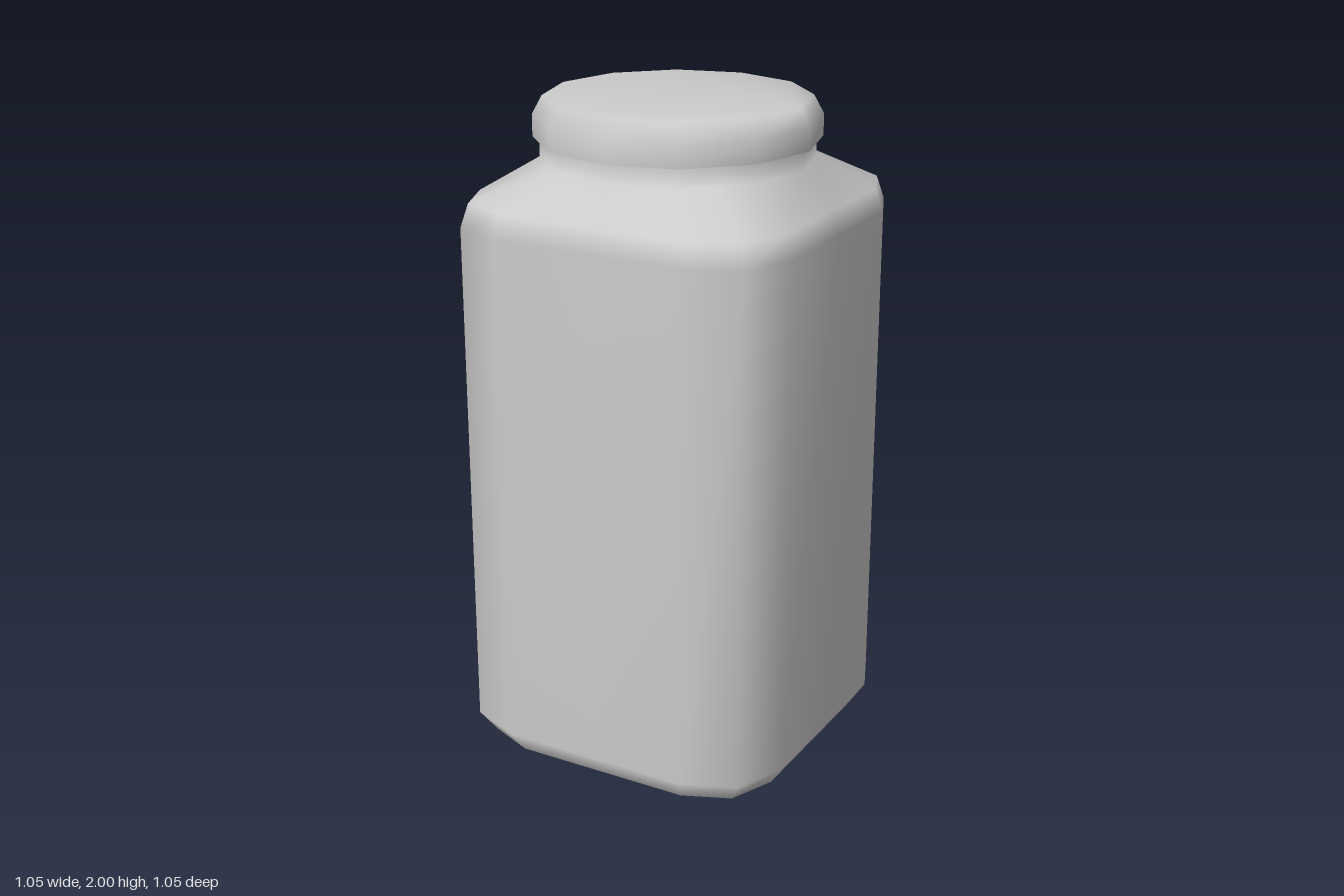
import * as THREE from 'three';

const material = new THREE.MeshStandardMaterial({ color: 0xcccccc });
const RAD = Math.PI / 180;

// Points [x, z] counter-clockwise seen from above, for one quarter turned four times.
function quarterRing(points) {
  const ring = [];
  for (let q = 0; q < 4; q++) {
    const c = Math.round(Math.cos(q * Math.PI / 2)), s = Math.round(Math.sin(q * Math.PI / 2));
    for (const [u, v] of points) ring.push([u * c - v * s, -(u * s + v * c)]);
  }
  return ring;
}

const polar = (r, deg) => [r * Math.cos(deg * RAD), r * Math.sin(deg * RAD)];

// Rounded square outline, h is half its width
const squareRing = (h) => quarterRing([
  [h, 0], [h, h * 0.58], [h * 0.876, h * 0.876], [h * 0.58, h],
]);

// Twelve-sided circle; withMiddle adds the point halfway along each diagonal
// edge so that the ring matches the rounded square
const roundRing = (r, withMiddle) => quarterRing([
  polar(r, 0), polar(r, 30),
  ...(withMiddle ? [polar(r * Math.cos(15 * RAD), 45)] : []),
  polar(r, 60),
]);

// Smooth skin through stacked rings, with an optional smooth top cap
function loft(levels, capTop) {
  const n = levels[0].ring.length, pos = [], index = [];
  for (const { y, ring } of levels) for (const [x, z] of ring) pos.push(x, y, z);
  for (let j = 0; j < levels.length - 1; j++) {
    for (let i = 0; i < n; i++) {
      const a = j * n + i, b = j * n + (i + 1) % n;
      index.push(a, b, b + n, a, b + n, a + n);
    }
  }
  const top = (levels.length - 1) * n;
  if (capTop) for (let i = 1; i < n - 1; i++) index.push(top, top + i, top + i + 1);
  return build(pos, index);
}

// Flat face looking down
function floorCap({ y, ring }) {
  const pos = ring.flatMap(([x, z]) => [x, y, z]), index = [];
  for (let i = 1; i < ring.length - 1; i++) index.push(0, i + 1, i);
  return build(pos, index);
}

function build(pos, index) {
  const g = new THREE.BufferGeometry();
  g.setAttribute('position', new THREE.Float32BufferAttribute(pos, 3));
  g.setIndex(index);
  g.computeVertexNormals();
  return g;
}

function addPart(parent, name, geometry) {
  const mesh = new THREE.Mesh(geometry, material);
  mesh.name = name;
  parent.add(mesh);
}

export function createModel() {
  const model = new THREE.Group();
  model.name = 'jar';

  // Square jar with bevelled base, shoulder and round neck
  const body = [
    { y: 0, ring: squareRing(0.48) },
    { y: 0.07, ring: squareRing(0.525) },
    { y: 1.65, ring: squareRing(0.525) },
    { y: 1.72, ring: squareRing(0.505) },
    { y: 1.82, ring: roundRing(0.405, true) },
    { y: 1.89, ring: roundRing(0.405, true) },
  ];
  addPart(model, 'jarBody', loft(body, false));
  addPart(model, 'jarBase', floorCap(body[0]));

  // Twelve-sided lid with a bevelled top edge
  const lid = [
    { y: 1.88, ring: roundRing(0.425, false) },
    { y: 1.945, ring: roundRing(0.425, false) },
    { y: 2, ring: roundRing(0.395, false) },
  ];
  addPart(model, 'lid', loft(lid, true));
  addPart(model, 'lidUnderside', floorCap(lid[0]));

  return model;
}
